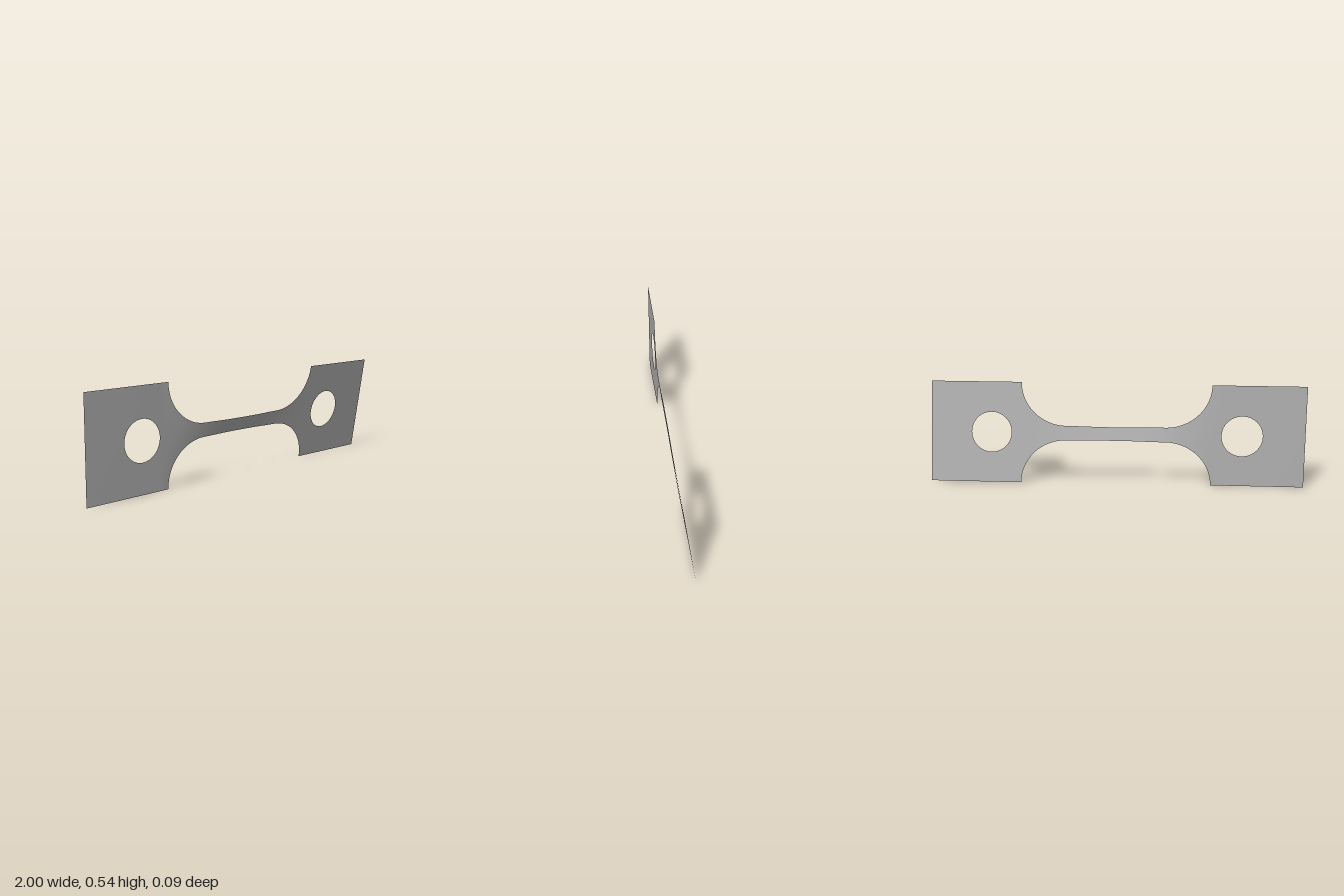
import * as THREE from 'three';
import { mergeGeometries } from 'three/addons/utils/BufferGeometryUtils.js';

const MID_Y = 0.271;                       // height of the long axis
const HALF = 0.271, NECK = 0.039;          // half heights of grip and neck
const GRIP_X = 0.508, FILLET_X = 0.265;    // where the fillet starts and ends
const HOLE_X = 0.67, HOLE_R = 0.108;

// Twist about the long axis, in radians
function twist(x) {
  const s = THREE.MathUtils.smoothstep;
  const deg = 0.6 + 0.5 * s(x, -1, -0.5) + 12.4 * s(x, -0.56, -0.1) - 4.3 * s(x, 0.05, 0.5);
  return THREE.MathUtils.degToRad(deg);
}

// Sheet between two edge curves lo(x) and hi(x), bent by the twist
function band(x0, x1, lo, hi, nx, ny = 4) {
  const geo = new THREE.PlaneGeometry(1, 1, nx, ny);
  const p = geo.attributes.position, n = geo.attributes.normal;
  for (let i = 0; i < p.count; i++) {
    // cosine spacing keeps the round edges fine near their ends
    const u = 0.5 - 0.5 * Math.cos(Math.PI * (p.getX(i) + 0.5));
    const x = x0 + (x1 - x0) * u;
    const h = THREE.MathUtils.lerp(lo(x), hi(x), p.getY(i) + 0.5);
    const a = twist(x), slope = (twist(x + 0.001) - twist(x - 0.001)) / 0.002;
    p.setXYZ(i, x, MID_Y + h * Math.cos(a), h * Math.sin(a));
    const v = new THREE.Vector3(-h * slope, -Math.sin(a), Math.cos(a)).normalize();
    n.setXYZ(i, v.x, v.y, v.z);
  }
  return geo;
}

// Outer half height along the strip
function outline(x) {
  const ax = Math.abs(x);
  if (ax >= GRIP_X - 1e-6) return HALF;
  if (ax <= FILLET_X) return NECK - 0.003 * (1 - THREE.MathUtils.smoothstep(ax, 0.05, FILLET_X));
  const t = (ax - FILLET_X) / (GRIP_X - FILLET_X);
  return HALF - (HALF - NECK) * Math.sqrt(Math.max(0, 1 - t * t));
}
const below = (x) => -outline(x);

// Square end with a round hole; side is -1 or 1
function gripGeometry(side) {
  const span = (a, b, lo, hi, nx) =>
    band(Math.min(a * side, b * side), Math.max(a * side, b * side), lo, hi, nx);
  const rim = (x) => Math.sqrt(Math.max(0, HOLE_R ** 2 - (Math.abs(x) - HOLE_X) ** 2));
  const inner = HOLE_X - HOLE_R, outer = HOLE_X + HOLE_R;
  return mergeGeometries([
    span(outer, 1, below, outline, 6),
    span(inner, outer, rim, outline, 32),
    span(inner, outer, below, (x) => -rim(x), 32),
    span(GRIP_X, inner, below, outline, 6),
  ]);
}

export function createModel() {
  const group = new THREE.Group();
  const steel = new THREE.MeshStandardMaterial({ color: 0xb2b2b2, side: THREE.DoubleSide });
  steel.name = 'grey metal';
  const add = (name, geo) => {
    const mesh = new THREE.Mesh(geo, steel);
    mesh.name = name;
    group.add(mesh);
  };

  for (const [side, name] of [[-1, 'right'], [1, 'left']]) {
    add(name + 'Grip', gripGeometry(side));
    // Curved shoulder between grip and neck
    const ends = [side * FILLET_X, side * GRIP_X].sort((a, b) => a - b);
    add(name + 'Shoulder', band(ends[0], ends[1], below, outline, 32));
  }
  add('neck', band(-FILLET_X, FILLET_X, below, outline, 40));
  return group;
}
